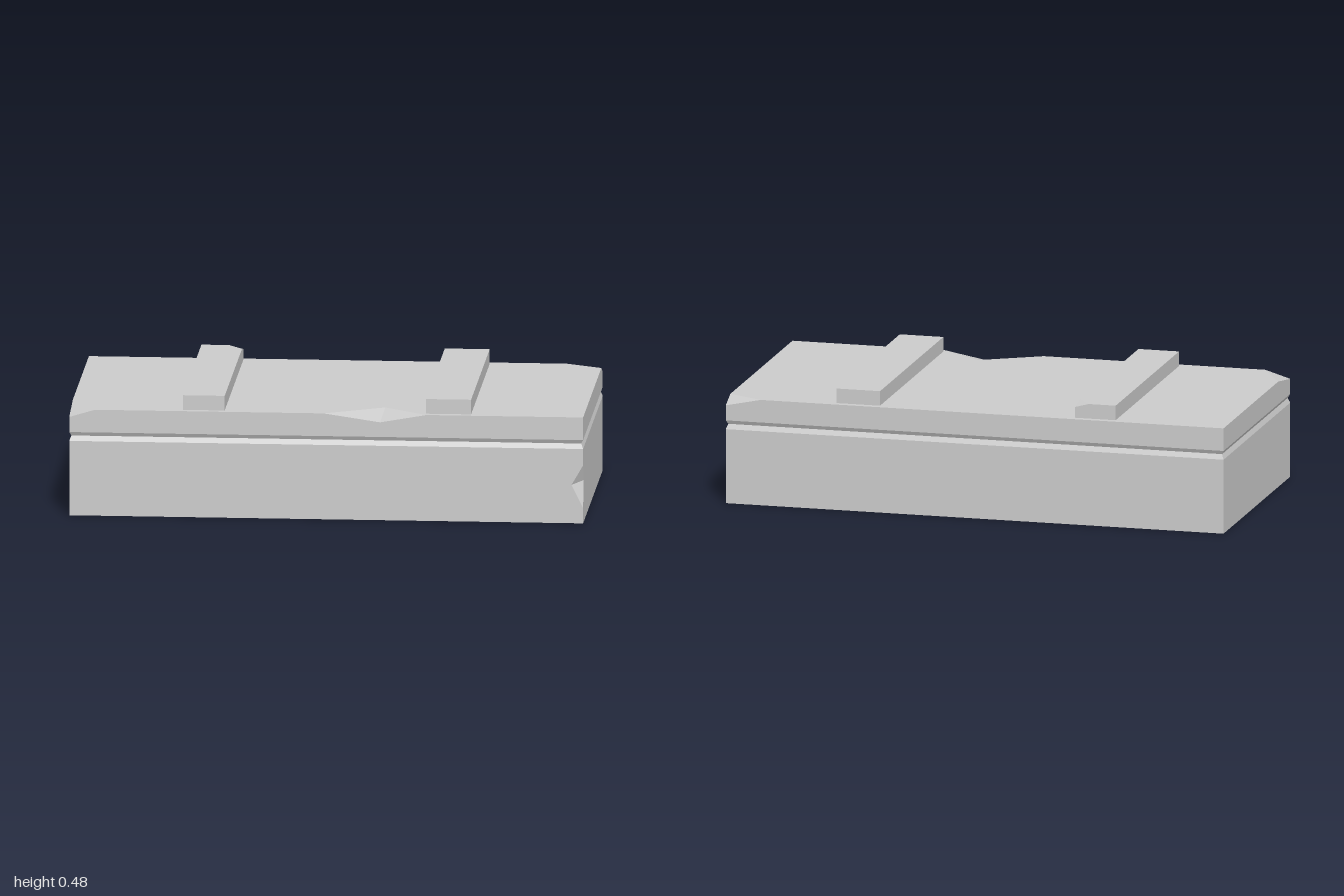
import * as THREE from 'three';

const X = 1, Z = 0.5;              // half length and half depth
const SEAM = 0.315, INSET = 0.008; // groove between base and lid
const TOP = 0.42;

// Triangulates flat polygons, each facing its own outward direction.
function facesToMesh(name, faces) {
  const positions = [];
  for (const [out, ...pts] of faces) {
    const outward = new THREE.Vector3(...out);
    const p = pts.map((c) => new THREE.Vector3(...c));
    const size = out.map(Math.abs);
    const drop = size.indexOf(Math.max(...size));
    const [u, v] = [0, 1, 2].filter((i) => i !== drop);
    const flat = pts.map((c) => new THREE.Vector2(c[u], c[v]));
    for (const [a, b, c] of THREE.ShapeUtils.triangulateShape(flat, [])) {
      const n = p[b].clone().sub(p[a]).cross(p[c].clone().sub(p[a]));
      const order = n.dot(outward) < 0 ? [a, c, b] : [a, b, c];
      order.forEach((i) => positions.push(...pts[i]));
    }
  }
  const geometry = new THREE.BufferGeometry();
  geometry.setAttribute('position', new THREE.Float32BufferAttribute(positions, 3));
  geometry.computeVertexNormals();
  const mesh = new THREE.Mesh(geometry, new THREE.MeshStandardMaterial({ color: 0xcccccc, flatShading: true }));
  mesh.name = name;
  return mesh;
}

// Corners of a rectangle at height y, counted round from the front left of the plan.
const ring = (y, inset = 0) =>
  [[-1, 1], [1, 1], [1, -1], [-1, -1]].map(([sx, sz]) => [sx * (X - inset), y, sz * (Z - inset)]);

const SIDES = [[0, 0, 1], [1, 0, 0], [0, 0, -1], [-1, 0, 0]];

// Four sloping strips between two rings.
const band = (lower, upper) =>
  SIDES.map((out, i) => [out, lower[i], lower[(i + 1) % 4], upper[(i + 1) % 4], upper[i]]);

function makeBase() {
  const b = ring(0), t = ring(0.295);
  // notch broken out of one upright edge
  const high = [X, 0.23, Z], low = [X, 0.06, Z];
  const onFront = [0.955, 0.152, Z], onSide = [X, 0.165, 0.467];
  return facesToMesh('base', [
    [[0, -1, 0], ...b],
    [SIDES[0], b[0], b[1], low, onFront, high, t[1], t[0]],
    [SIDES[1], b[1], b[2], t[2], t[1], high, onSide, low],
    [SIDES[2], b[2], b[3], t[3], t[2]],
    [SIDES[3], b[3], b[0], t[0], t[3]],
    [[1, -1, 1.1], high, onFront, onSide],
    [[1, 1, 1.1], low, onFront, onSide],
    ...band(t, ring(SEAM, INSET)),
  ]);
}

function makeLid() {
  const b = ring(0.33), t = ring(TOP);
  // chipped corners: point on the side edge, on the long edge, and below the corner
  const c1 = { side: [-X, TOP, 0.32], long: [-0.9, TOP, Z], down: [-X, 0.39, Z] };
  const c2 = { side: [X, TOP, -0.43], long: [0.86, TOP, -Z], down: [X, 0.39, -Z] };
  // shallow break in the front edge
  const d0 = [-0.01, TOP, Z], d1 = [0.39, TOP, Z], dLow = [0.21, 0.388, Z], dIn = [0.22, TOP, 0.37];
  return facesToMesh('lid', [
    ...band(ring(SEAM, INSET), b),
    [[0, 1, 0], c1.side, c1.long, d0, dIn, d1, t[1], c2.side, c2.long, t[3]],
    [SIDES[0], b[0], b[1], t[1], d1, dLow, d0, c1.long, c1.down],
    [SIDES[1], b[1], b[2], c2.down, c2.side, t[1]],
    [SIDES[2], b[2], b[3], t[3], c2.long, c2.down],
    [SIDES[3], b[3], b[0], c1.down, c1.side, t[3]],
    [[-0.3, 1, 0.3], c1.side, c1.long, c1.down],
    [[0.3, 1, -0.3], c2.side, c2.long, c2.down],
    [[0, 1, 0.3], d0, dLow, dIn],
    [[0, 1, 0.3], d1, dLow, dIn],
  ]);
}

// Raised bar across the lid; chip is the size of the break at its back corner.
function makeBar(name, x0, x1, chip) {
  const y0 = TOP - 0.002, y1 = 0.478, z = 0.475;
  const b = [[x0, y0, z], [x1, y0, z], [x1, y0, -z], [x0, y0, -z]];
  const t = b.map(([x, , zz]) => [x, y1, zz]);
  const faces = band(b, t);
  if (chip) {
    const side = [x1, y1, -z + 0.075], back = [x1 - 0.055, y1, -z], down = [x1, y1 - 0.015, -z];
    faces[1] = [SIDES[1], b[1], b[2], down, side, t[1]];
    faces[2] = [SIDES[2], b[2], b[3], t[3], back, down];
    faces.push([[0, 1, 0], t[0], t[1], side, back, t[3]], [[0.2, 1, -0.2], side, back, down]);
  } else {
    faces.push([[0, 1, 0], ...t]);
  }
  faces.push([[0, -1, 0], ...b]);
  return facesToMesh(name, faces);
}

export function createModel() {
  const group = new THREE.Group();
  group.name = 'stoneChest';
  group.add(
    makeBase(),
    makeLid(),
    makeBar('rightBar', -0.56, -0.397, true),
    makeBar('leftBar', 0.387, 0.562, false),
  );
  return group;
}
